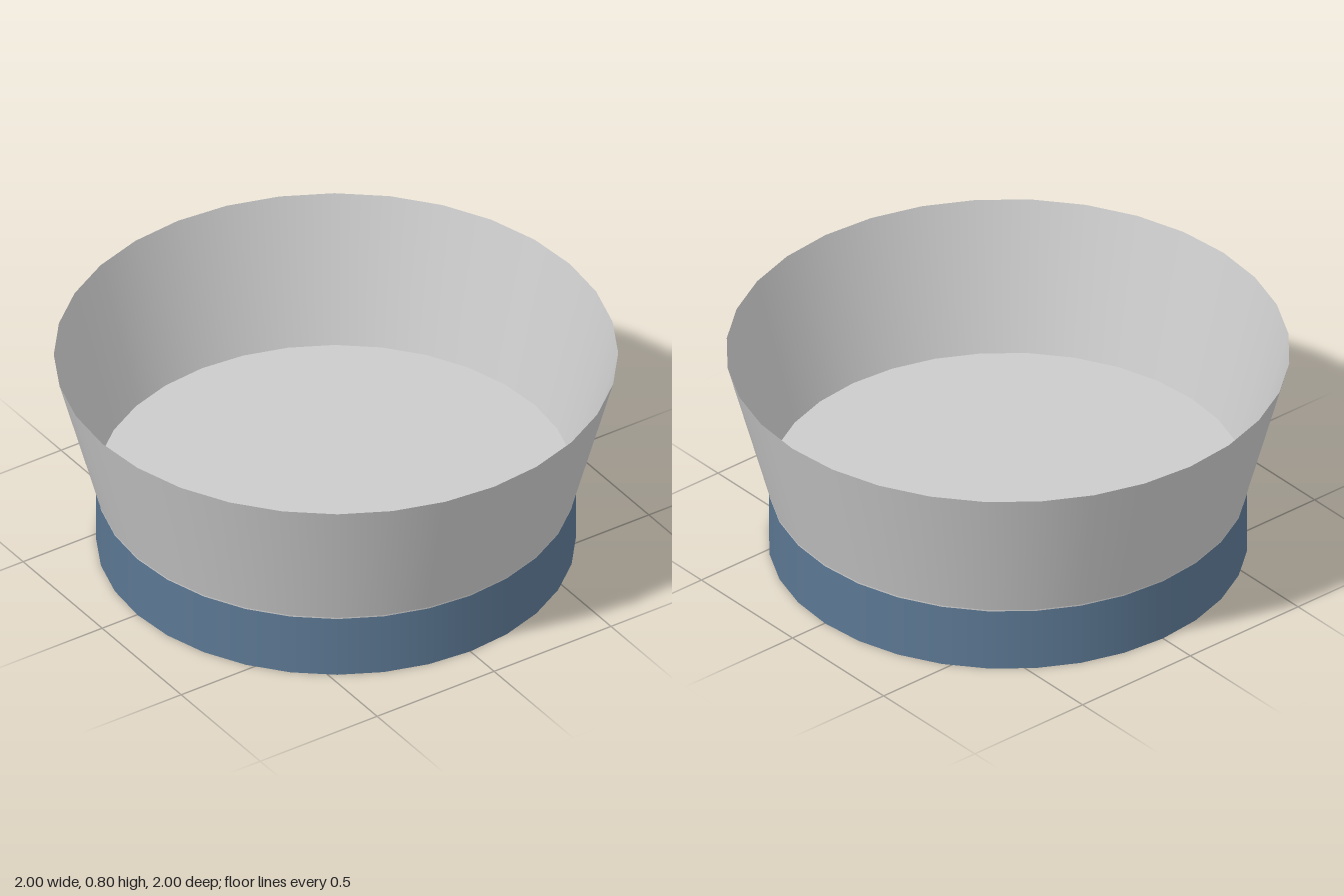
import * as THREE from 'three';

const SIDES = 32;

export function createModel() {
  const model = new THREE.Group();
  const grey = new THREE.MeshStandardMaterial({ color: 0xcccccc });
  const greyThin = new THREE.MeshStandardMaterial({ color: 0xcccccc, side: THREE.DoubleSide });
  const blue = new THREE.MeshStandardMaterial({ color: 0x5b7792 });

  const add = (name, geometry, material, y) => {
    const mesh = new THREE.Mesh(geometry, material);
    mesh.name = name;
    mesh.position.y = y;
    model.add(mesh);
  };

  // Solid round foot
  add('base', new THREE.CylinderGeometry(0.85, 0.85, 0.24, SIDES), blue, 0.12);

  // Floor of the bowl, with a slightly raised disc
  add('floor', new THREE.CylinderGeometry(0.85, 0.85, 0.005, SIDES), grey, 0.2425);
  add('floorDisc', new THREE.CylinderGeometry(0.77, 0.77, 0.008, SIDES), grey, 0.249);

  // Thin flared wall, open at the top
  add('flaredWall', new THREE.CylinderGeometry(1, 0.85, 0.55, SIDES, 1, true), greyThin, 0.52);

  return model;
}
